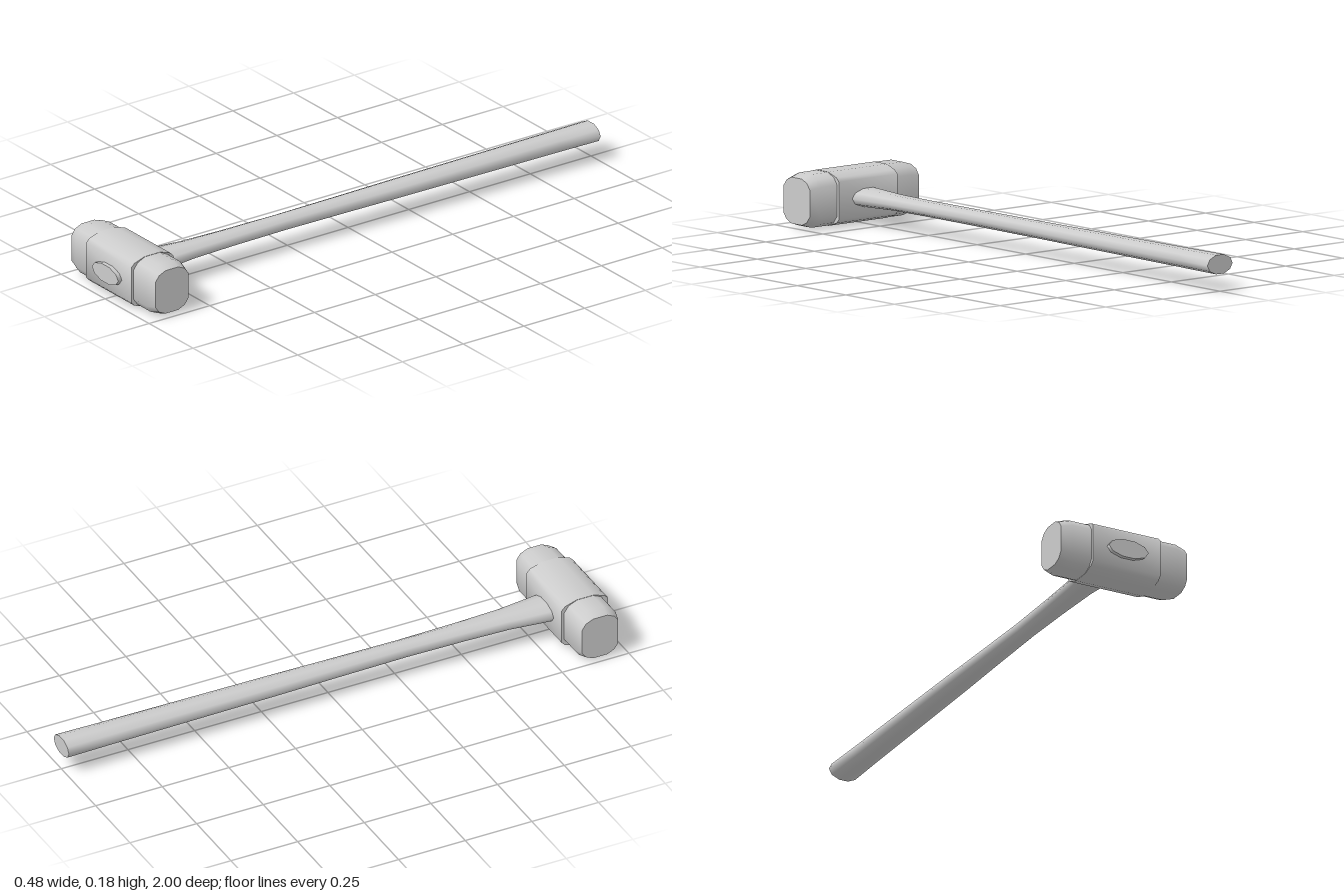
import * as THREE from 'three';
import { toCreasedNormals } from 'three/addons/utils/BufferGeometryUtils.js';

const material = new THREE.MeshStandardMaterial({ color: 0xcccccc });
const CENTRE_Y = 0.0925;
const HEAD_Z = 0.898;

// Capped skin through cross-sections along z; each is { z, pts: [[x, y], ...] } counter-clockwise
function loft(rings, crease) {
  const n = rings[0].pts.length;
  const positions = [];
  const index = [];
  for (const { z, pts } of rings) for (const [x, y] of pts) positions.push(x, y, z);
  for (let r = 0; r < rings.length - 1; r++) {
    for (let i = 0; i < n; i++) {
      const a = r * n + i;
      const b = r * n + ((i + 1) % n);
      index.push(a, b, b + n, a, b + n, a + n);
    }
  }
  const last = (rings.length - 1) * n;
  for (let i = 1; i < n - 1; i++) {
    index.push(0, i + 1, i);
    index.push(last, last + i, last + i + 1);
  }
  const geometry = new THREE.BufferGeometry();
  geometry.setAttribute('position', new THREE.Float32BufferAttribute(positions, 3));
  geometry.setIndex(index);
  return toCreasedNormals(geometry, crease);
}

// Mirror one quarter of a section (from the side up to the top) into a full outline
function mirrorQuarter(quarter, sx = 1, sy = 1) {
  const q = quarter.map(([x, y]) => [x * sx, y * sy]);
  const back = [...q].reverse();
  return [
    ...q,
    ...back.map(([x, y]) => [-x, y]),
    ...q.map(([x, y]) => [-x, -y]),
    ...back.map(([x, y]) => [x, -y]),
  ];
}

function ellipse(rx, ry, sides = 10) {
  return Array.from({ length: sides }, (_, i) => {
    const a = (i / sides) * Math.PI * 2;
    return [rx * Math.cos(a), ry * Math.sin(a)];
  });
}

export function createModel() {
  const group = new THREE.Group();
  group.name = 'sledgehammer';

  const add = (name, geometry, z) => {
    const mesh = new THREE.Mesh(geometry, material);
    mesh.name = name;
    mesh.position.set(0, CENTRE_Y, z);
    group.add(mesh);
  };

  // Head: full-length body with tapered striking ends
  const body = [[0.078, 0.052], [0.061, 0.076], [0.03, 0.09]];
  const bodyRings = [[-0.239, 0.87], [-0.2, 1], [0.2, 1], [0.239, 0.87]].map(([z, s]) => ({
    z, pts: mirrorQuarter(body, s, s),
  }));
  add('head', loft(bodyRings, 1.1).rotateY(Math.PI / 2), HEAD_Z);

  // Thicker middle of the head, standing proud at front and back
  const middle = [[0.087, 0.064], [0.074, 0.077], [0.032, 0.091]];
  const middleRings = [-0.128, 0.128].map((z) => ({ z, pts: mirrorQuarter(middle) }));
  add('headMiddle', loft(middleRings, 1.1).rotateY(Math.PI / 2), HEAD_Z);

  // Handle: oval shaft, slim at the waist and flared into the head; [z, half width, half height]
  const handleSections = [
    [-1, 0.055, 0.034],
    [-0.84, 0.052, 0.033],
    [-0.2, 0.047, 0.029],
    [0, 0.043, 0.028],
    [0.28, 0.039, 0.027],
    [0.5, 0.045, 0.026],
    [0.66, 0.052, 0.027],
    [0.8, 0.069, 0.032],
    [1, 0.075, 0.033],
  ];
  const handleRings = handleSections.map(([z, rx, ry]) => ({ z, pts: ellipse(rx, ry) }));
  add('handle', loft(handleRings, 1.35), 0);

  return group;
}
